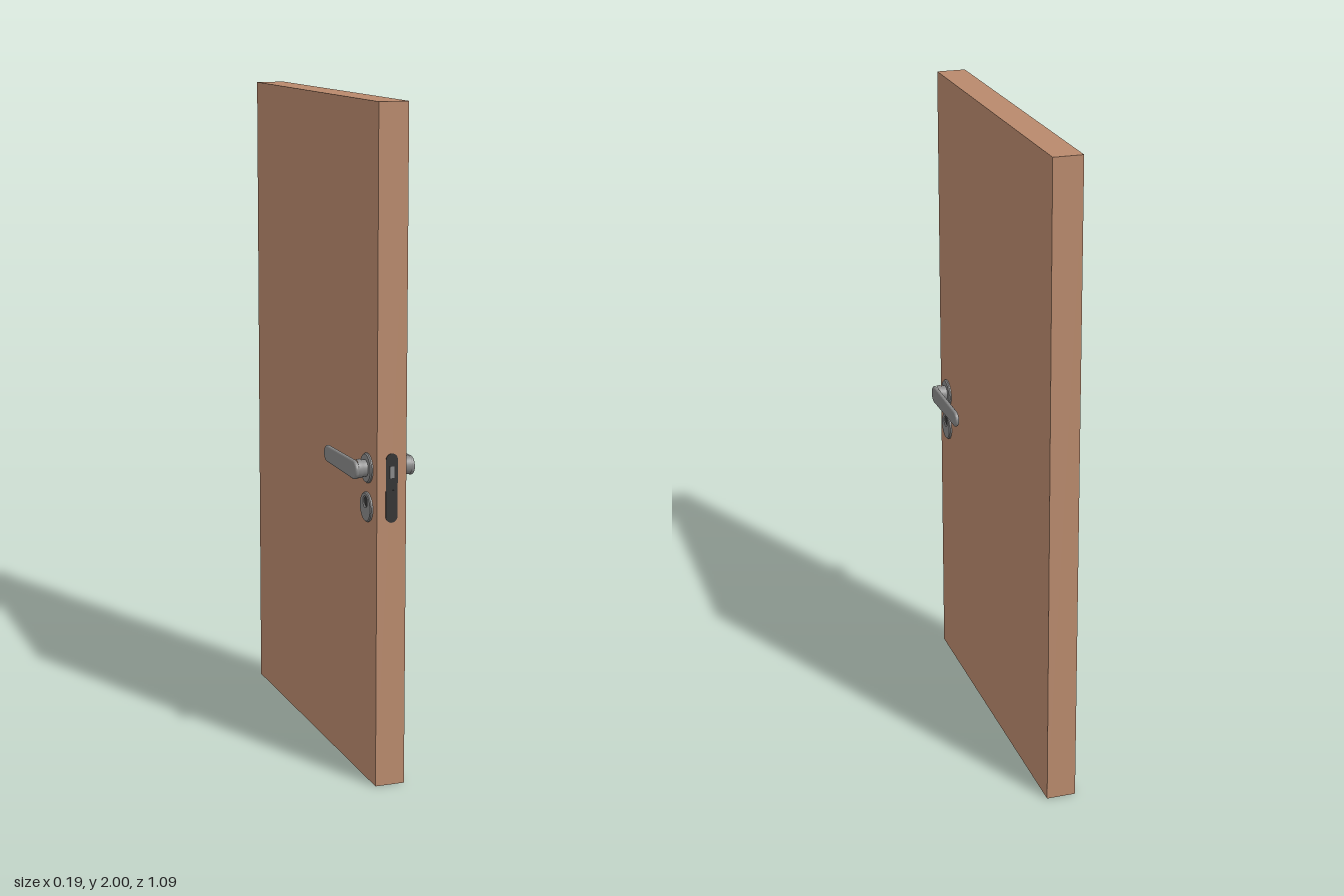
import * as THREE from 'three';

const mat = (color) => new THREE.MeshStandardMaterial({ color });
const wood = mat(0xb8896c), steel = mat(0x888888), dark = mat(0x333333);

function add(parent, name, geometry, material, x = 0, y = 0, z = 0) {
  const mesh = new THREE.Mesh(geometry, material);
  mesh.name = name;
  mesh.position.set(x, y, z);
  parent.add(mesh);
  return mesh;
}

// Rounded bar between two end arcs, optionally tapering
function barShape(length, r0, r1) {
  const s = new THREE.Shape();
  s.absarc(0, 0, r0, -Math.PI / 2, Math.PI / 2, false);
  s.absarc(-length, 0, r1, Math.PI / 2, Math.PI * 1.5, false);
  s.closePath();
  return s;
}

// Disc whose axis runs outward along +x, given as [radius, x] steps
function turned(profile) {
  const g = new THREE.LatheGeometry(profile.map(([r, h]) => new THREE.Vector2(r, h)), 32);
  return g.rotateZ(-Math.PI / 2);
}

// Handle, rosettes and keyhole for one face, built outward along +x
function handleSet() {
  const set = new THREE.Group();
  const y = 0.948, z = 0.467, keyY = 0.832, face = 0.045;

  add(set, 'handleRosette', turned([
    [0.044, 0], [0.044, 0.004], [0.044, 0.004], [0.041, 0.008], [0.041, 0.008], [0, 0.008],
  ]), steel, face, y, z);
  add(set, 'handleNeck', turned([
    [0.025, 0.006], [0.025, 0.02], [0.028, 0.024], [0.028, 0.037],
  ]), steel, face, y, z);

  // Lever: flat tapered bar with bevelled rims
  const lever = new THREE.ExtrudeGeometry(barShape(0.221, 0.022, 0.019), {
    depth: 0.003, bevelEnabled: true, bevelThickness: 0.005, bevelSize: 0.006,
    bevelSegments: 3, curveSegments: 16,
  }).rotateY(Math.PI / 2);
  // after the turn, shape x points to -z, so flip to reach from the pivot toward the back
  lever.rotateX(Math.PI);
  lever.rotateY(0);
  lever.computeBoundingBox();
  const b = lever.boundingBox;
  if (b.max.z > 0.1) lever.rotateX(Math.PI).rotateY(Math.PI);
  lever.computeBoundingBox();
  lever.translate(0.0925 - lever.boundingBox.max.x, 0, 0);
  add(set, 'lever', lever, steel, 0, y - 0.002, z);

  // Key rosette with an off-centre round opening
  const plate = new THREE.Shape().absarc(0, 0, 0.041, 0, Math.PI * 2, false);
  plate.holes.push(new THREE.Path().absarc(0, 0.016, 0.018, 0, Math.PI * 2, true));
  const rosette = new THREE.ExtrudeGeometry(plate, {
    depth: 0.005, bevelEnabled: true, bevelThickness: 0.003, bevelSize: 0.003,
    bevelSegments: 1, curveSegments: 16,
  }).rotateY(Math.PI / 2);
  add(set, 'keyRosette', rosette, steel, face, keyY, z);
  add(set, 'keyCylinder', turned([[0.018, 0], [0.018, 0.004], [0.018, 0.004], [0, 0.004]]),
    dark, face, keyY + 0.016, z);
  return set;
}

export function createModel() {
  const model = new THREE.Group();
  model.name = 'door';
  add(model, 'doorLeaf', new THREE.BoxGeometry(0.09, 2, 1.088), wood, 0, 1, -0.002);

  const left = handleSet();
  left.name = 'leftHandle';
  const right = handleSet();
  right.name = 'rightHandle';
  right.scale.x = -1;
  model.add(left, right);

  // Lock plate on the closing edge, with latch and bolt
  const lock = new THREE.Group();
  lock.name = 'lockPlate';
  const plate = new THREE.ExtrudeGeometry(barShape(0.168, 0.018, 0.018), {
    depth: 0.003, bevelEnabled: false, curveSegments: 12,
  }).rotateZ(Math.PI / 2);
  add(lock, 'plate', plate, dark, 0, 0.985, 0.541);
  add(lock, 'latch', new THREE.BoxGeometry(0.014, 0.034, 0.004), steel, 0, 0.948, 0.5435);
  add(lock, 'bolt', new THREE.BoxGeometry(0.012, 0.05, 0.004), dark, 0, 0.87, 0.5435);
  model.add(lock);
  return model;
}
